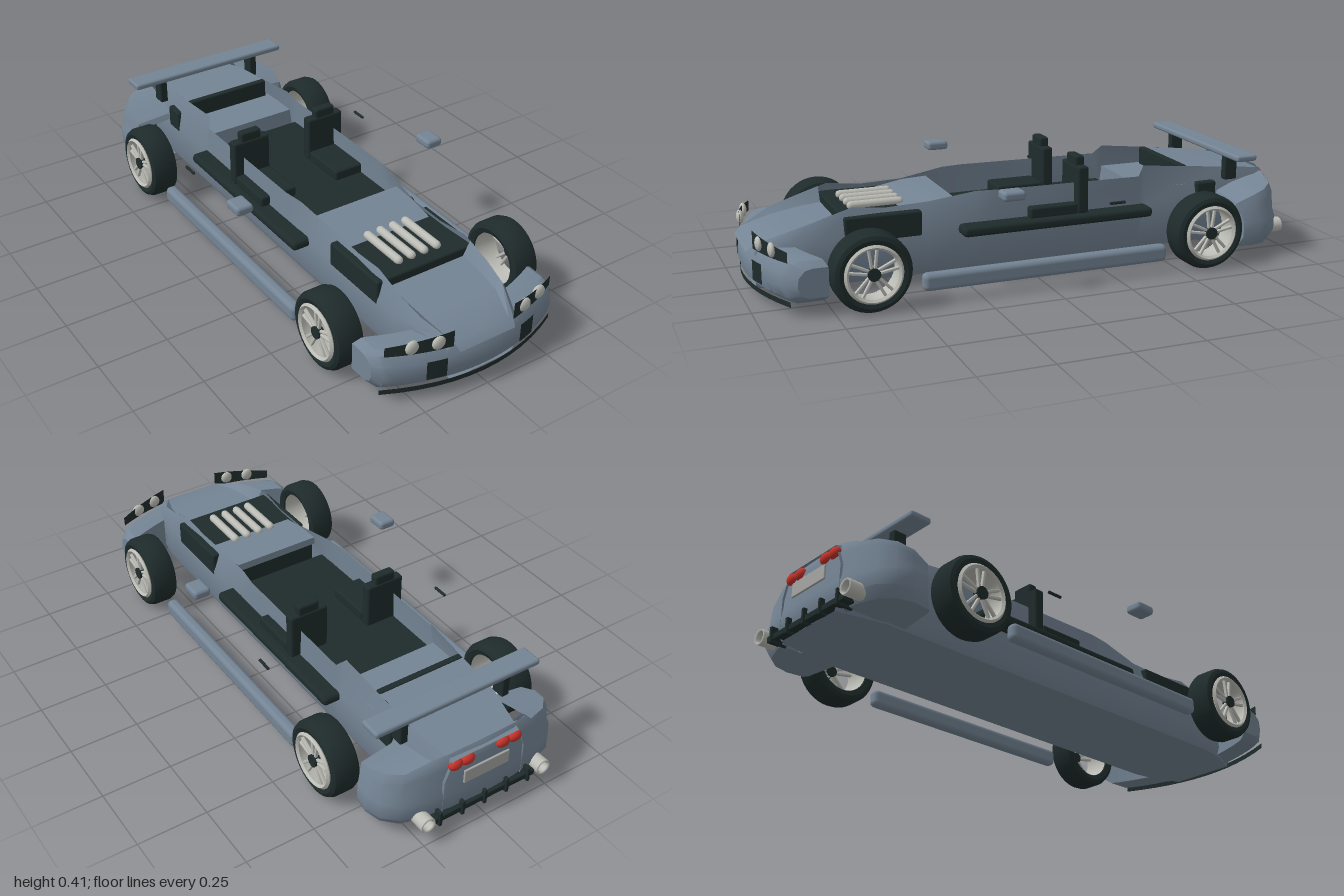
import * as THREE from 'three';
import { toCreasedNormals } from 'three/addons/utils/BufferGeometryUtils.js';
import { RoundedBoxGeometry } from 'three/addons/geometries/RoundedBoxGeometry.js';

const paint = new THREE.MeshStandardMaterial({ color: 0x748494, side: THREE.DoubleSide, name: 'slate paint' });
const black = new THREE.MeshStandardMaterial({ color: 0x1f2b2b, side: THREE.DoubleSide, name: 'dark trim' });
const metal = new THREE.MeshStandardMaterial({ color: 0xbcbcb6, side: THREE.DoubleSide, name: 'light metal' });
const red = new THREE.MeshStandardMaterial({ color: 0xc8342a, name: 'tail red' });
const plateGrey = new THREE.MeshStandardMaterial({ color: 0xa6a6a4, name: 'plate grey' });

function add(parent, name, geo, mat, x = 0, y = 0, z = 0) {
  const m = new THREE.Mesh(geo, mat);
  m.name = name;
  m.position.set(x, y, z);
  parent.add(m);
  return m;
}

// box given by its limits on each axis
function box(parent, name, mat, [x0, x1], [y0, y1], [z0, z1], r = 0.008) {
  const geo = new RoundedBoxGeometry(x1 - x0, y1 - y0, z1 - z0, 2, r);
  return add(parent, name, geo, mat, (x0 + x1) / 2, (y0 + y1) / 2, (z0 + z1) / 2);
}

// skin through a row of equally long cross-sections
function loft(sections, closed = false, caps = false) {
  const n = sections[0].length, idx = [];
  for (let i = 0; i < sections.length - 1; i++) {
    for (let j = 0; j < (closed ? n : n - 1); j++) {
      const a = i * n + j, b = i * n + (j + 1) % n;
      idx.push(a, b, a + n, b, b + n, a + n);
    }
  }
  if (caps) {
    const e = (sections.length - 1) * n;
    for (let j = 1; j < n - 1; j++) idx.push(0, j + 1, j, e, e + j, e + j + 1);
  }
  const g = new THREE.BufferGeometry();
  g.setAttribute('position', new THREE.Float32BufferAttribute(sections.flat(2), 3));
  g.setIndex(idx);
  return toCreasedNormals(g, 0.6);
}

const mirrorX = pts => [...pts, ...pts.filter(p => p[0] !== 0).reverse().map(([x, y, z]) => [-x, y, z])];
const range = (a, b, n) => Array.from({ length: n + 1 }, (_, i) => a + (b - a) * i / n);
const frontZ = x => 0.985 - 0.72 * x * x;

function wheel(parent, name, side, z) {
  const g = new THREE.Group();
  g.name = name;
  g.position.set(side * 0.36, 0.135, z);
  g.scale.x = side;
  parent.add(g);
  const ring = (part, pts, mat) => {
    const geo = new THREE.LatheGeometry(pts.map(p => new THREE.Vector2(...p)), 40);
    add(g, part, toCreasedNormals(geo, 0.6), mat).rotation.z = -Math.PI / 2;
  };
  ring('tyre', [[0.096, -0.045], [0.115, -0.052], [0.128, -0.046], [0.135, -0.03], [0.135, 0.03],
    [0.128, 0.046], [0.115, 0.052], [0.096, 0.045], [0.096, -0.045]], black);
  ring('rim', [[0.094, -0.04], [0.09, 0.03], [0.084, 0.05], [0.092, 0.058], [0.1, 0.05], [0.094, 0.04]], metal);
  for (let i = 0; i < 5; i++) {
    const arm = new THREE.Group();
    arm.name = 'spoke';
    arm.rotation.x = i * Math.PI * 2 / 5;
    g.add(arm);
    for (const s of [-1, 1]) {
      box(arm, 'spokeBar', metal, [0.035, 0.047], [0.01, 0.09], [-0.005, 0.005], 0.003)
        .rotation.x = s * 0.13;
      arm.children.at(-1).position.z = s * 0.01;
    }
  }
  const hub = add(g, 'hub', new THREE.CylinderGeometry(0.02, 0.022, 0.025, 20), black, 0.042);
  hub.rotation.z = Math.PI / 2;
}

export function createModel() {
  const car = new THREE.Group();
  car.name = 'car';

  // lower tub: z, half width at sill, half width at top, top height
  const stations = [
    [0.96, 0.14, 0.12, 0.19], [0.85, 0.185, 0.165, 0.235], [0.76, 0.2, 0.175, 0.262],
    [0.64, 0.2, 0.175, 0.298], [0.52, 0.2, 0.17, 0.285], [0.37, 0.2, 0.168, 0.29],
    [0.2, 0.2, 0.185, 0.315], [0.12, 0.2, 0.196, 0.315], [-0.42, 0.2, 0.196, 0.31],
    [-0.45, 0.2, 0.175, 0.343], [-0.8, 0.2, 0.165, 0.305], [-0.97, 0.16, 0.13, 0.28]];
  const wall = stations.map(([z, w, t, y]) => mirrorX(
    [[t, y, z], [w, Math.min(0.2, y - 0.02), z], [w, 0.07, z], [w - 0.015, 0.04, z]]));
  add(car, 'bodyTub', loft(wall), paint);

  // hood, rising at its edges to meet the tub
  const hood = [[0.985, 0.11, 0.165, 0.165], [0.96, 0.12, 0.19, 0.19], [0.85, 0.165, 0.235, 0.215],
    [0.76, 0.175, 0.262, 0.228], [0.67, 0.175, 0.29, 0.238]];
  add(car, 'hood', loft(hood.map(([z, t, y, hy]) => mirrorX(
    [[t, y, z], [t * 0.85, hy, z], [0, hy, z]]))), paint);

  // engine block with four intake pipes
  box(car, 'engineBlock', black, [-0.202, 0.202], [0.18, 0.27], [0.4, 0.67]);
  box(car, 'dashboard', black, [-0.165, 0.165], [0.19, 0.268], [0.275, 0.4]);
  add(car, 'cowl', loft([[0.46, 0.27], [0.36, 0.288], [0.27, 0.292], [0.268, 0.265]].map(
    ([z, y]) => [[0.168, y, z], [-0.168, y, z]])), paint);
  for (let i = 0; i < 4; i++) {
    const pipe = add(car, 'intakePipe', new THREE.CapsuleGeometry(0.015, 0.17, 4, 12), metal,
      -0.078 + i * 0.052, 0.278, 0.53);
    pipe.rotation.x = Math.PI / 2;
  }

  // rear deck in two steps with a dark upright between
  box(car, 'rearBlock', black, [-0.203, 0.203], [0.18, 0.265], [-0.74, -0.66]);
  const deck = pts => loft(pts.map(([z, w, y]) => [[w, y, z], [-w, y, z]]));
  add(car, 'lowerDeck', deck([[-0.45, 0.19, 0.2], [-0.455, 0.185, 0.26], [-0.62, 0.185, 0.26]]), paint);
  box(car, 'rearBulkhead', black, [-0.168, 0.168], [0.25, 0.327], [-0.632, -0.608], 0.005);
  add(car, 'rearDeck', deck([[-0.63, 0.169, 0.323], [-0.8, 0.165, 0.305], [-0.97, 0.13, 0.28]]), paint);

  // cabin floor and seats
  box(car, 'cabinFloor', black, [-0.262, 0.262], [0.172, 0.208], [-0.45, 0.27], 0.015);
  for (const s of [-1, 1]) {
    const seat = new THREE.Group();
    seat.name = 'seat';
    seat.position.x = s * 0.16;
    car.add(seat);
    box(seat, 'seatCushion', black, [-0.073, 0.073], [0.205, 0.245], [-0.165, 0.015]);
    box(seat, 'seatBack', black, [-0.074, 0.074], [0.205, 0.375], [-0.205, -0.165]);
    box(seat, 'headrest', black, [-0.041, 0.041], [0.368, 0.408], [-0.202, -0.168]);
  }

  // front bumper swept across the nose
  const bumper = range(-0.365, 0.365, 28).map(x => {
    const end = Math.max(0, (Math.abs(x) - 0.33) / 0.035), k = 1 - 0.3 * end * end;
    const f = frontZ(x) - 0.02 * end * end, b = 0.86 - 0.7 * x * x;
    return [[b, 0.045], [f - 0.035, 0.045], [f - 0.01, 0.065], [f, 0.1], [f - 0.004, 0.145],
      [f - 0.025, 0.178], [f - 0.05, 0.187], [b, 0.187]].map(([z, y]) => [x, 0.115 + (y - 0.115) * k, z]);
  });
  add(car, 'frontBumper', loft(bumper, true, true), paint);
  const strip = (x0, x1, low, high, dz) => loft(range(x0, x1, 12).map((x, i) =>
    [[x, low(i / 12), frontZ(x) + dz], [x, high(i / 12), frontZ(x) + dz]]));
  add(car, 'frontLip', strip(-0.35, 0.35, () => 0.038, () => 0.056, -0.006), black);

  for (const s of [-1, 1]) {
    // headlamp panels, lamps and intakes
    add(car, 'headlampPanel', strip(s * 0.12, s * 0.335, t => 0.178 + 0.004 * t, t => 0.24 - 0.022 * t, -0.012), black);
    for (const x of [0.172, 0.255]) {
      add(car, 'headlamp', new THREE.SphereGeometry(0.025, 20, 14), metal, s * x, 0.208, frontZ(x) - 0.012).scale.z = 0.5;
    }
    add(car, 'frontIntake', strip(s * 0.148, s * 0.215, () => 0.08, () => 0.15, 0.003), black);

    // wheels, sills, mirrors and door handles
    wheel(car, 'frontWheel', s, 0.63);
    wheel(car, 'rearWheel', s, -0.605);
    const pair = new THREE.Group();
    pair.name = s > 0 ? 'leftFittings' : 'rightFittings';
    pair.scale.x = s;
    car.add(pair);
    box(pair, 'sideSkirt', paint, [0.342, 0.386], [0.042, 0.104], [-0.445, 0.455], 0.018);
    box(pair, 'mirror', paint, [0.367, 0.432], [0.334, 0.367], [0.112, 0.192], 0.012);
    box(pair, 'doorHandle', black, [0.368, 0.378], [0.27, 0.28], [-0.28, -0.22], 0.004);

    // wing support, tail lamp and exhaust
    box(pair, 'wingSupport', black, [0.19, 0.22], [0.27, 0.365], [-0.815, -0.765], 0.005);
    for (const x of [0.07, 0.118]) {
      add(pair, 'tailLamp', new THREE.SphereGeometry(0.027, 18, 12), red, x, 0.257, -0.965).scale.set(1, 0.75, 0.6);
    }
    const pipe = new THREE.LatheGeometry([[0.026, -0.05], [0.028, 0.04], [0.026, 0.045], [0.02, 0.04], [0.018, -0.03], [0, -0.03]]
      .map(p => new THREE.Vector2(...p)), 20);
    add(pair, 'exhaust', pipe, metal, 0.235, 0.08, -0.955).rotation.x = -Math.PI / 2;
  }

  // rear fenders and bumper in one wrap-around sweep
  const tail = [[0.335, -0.76, 0.19], [0.352, -0.77, 0.21], [0.36, -0.83, 0.235], [0.345, -0.885, 0.25],
    [0.3, -0.93, 0.26], [0.22, -0.955, 0.27], [0.13, -0.968, 0.28], [0, -0.973, 0.28]];
  const wrap = tail.map(([x, z, top]) => {
    const inner = [Math.min(x, 0.19), top + 0.015, Math.max(z + 0.02, -0.95)];
    return [inner, [x * 0.93, top, z + 0.012], [x * 0.96, top - 0.03, z + 0.004], [x * 0.975, 0.165, z],
      [x, 0.14, z - 0.005], [x, 0.085, z - 0.005], [x * 0.96, 0.048, z + 0.015], [Math.min(x, 0.18), 0.045, z + 0.03]];
  });
  const flip = sec => sec.map(([x, y, z]) => [-x, y, z]);
  add(car, 'rearBumper', loft([...wrap, ...wrap.slice(0, -1).reverse().map(flip)]), paint);
  box(car, 'numberPlate', plateGrey, [-0.09, 0.09], [0.172, 0.225], [-0.982, -0.974], 0.003);

  // diffuser with upright fins
  box(car, 'diffuserBar', black, [-0.21, 0.21], [0.052, 0.075], [-0.985, -0.94], 0.004);
  for (const x of range(-0.18, 0.18, 4)) {
    box(car, 'diffuserFin', black, [x - 0.006, x + 0.006], [0.042, 0.1], [-0.992, -0.93], 0.003);
  }

  // rear wing
  box(car, 'rearWing', paint, [-0.327, 0.327], [0.36, 0.383], [-0.832, -0.75], 0.009);
  return car;
}
